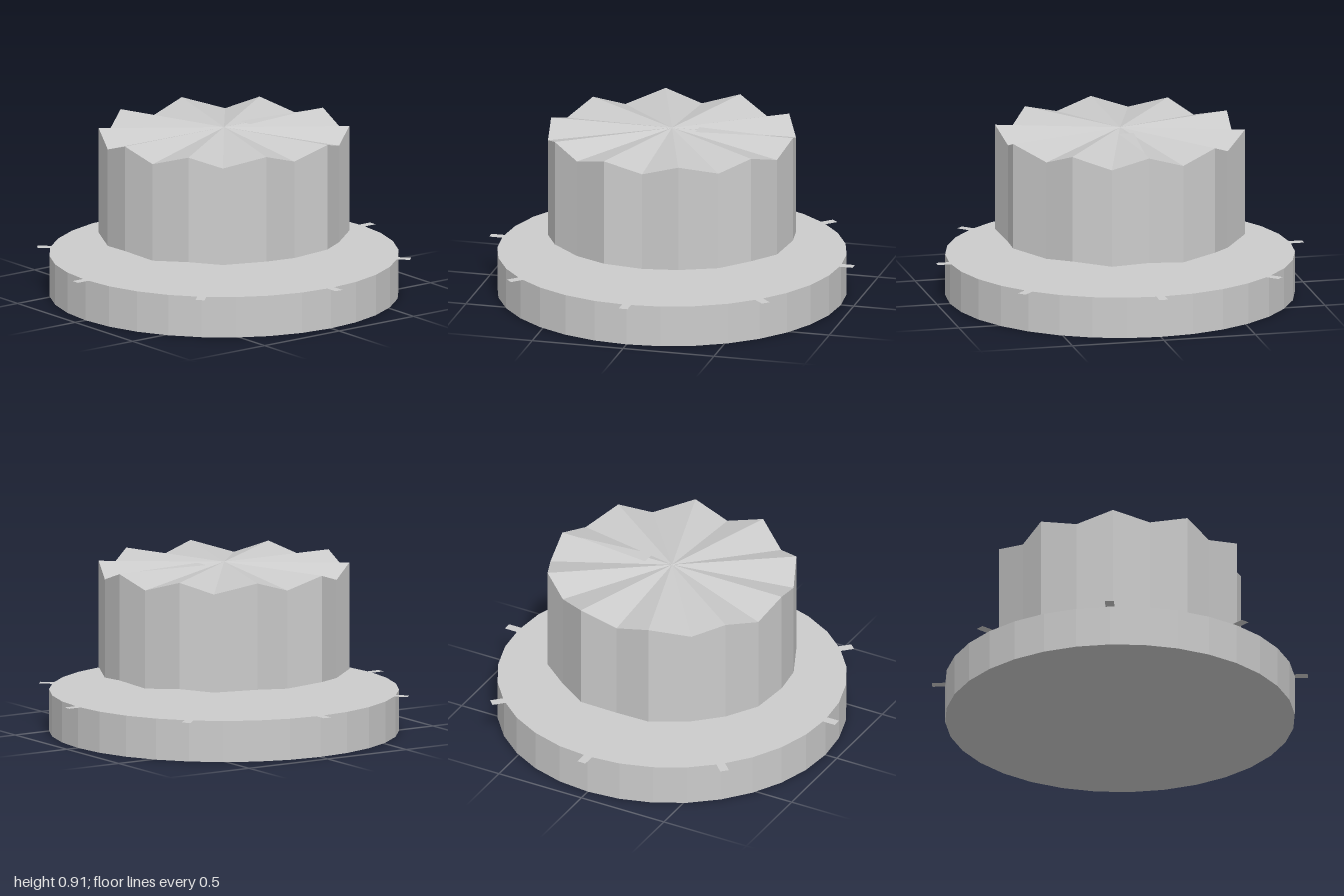
import * as THREE from 'three';

const material = new THREE.MeshStandardMaterial({ color: 0xcccccc, flatShading: true, side: THREE.DoubleSide });

function addMesh(parent, name, geometry) {
  const mesh = new THREE.Mesh(geometry, material);
  mesh.name = name;
  parent.add(mesh);
  return mesh;
}

// Closed outline of the knob: one quadrant, alternating ridge and valley, mirrored round
function knobOutline() {
  const quadrant = [[0, 0.665], [0.195, 0.63], [0.39, 0.54], [0.495, 0.39], [0.633, 0.205], [0.612, 0]];
  const back = quadrant.slice(0, -1).reverse().map(([x, z]) => [x, -z]);
  const half = [...quadrant, ...back];
  const left = half.slice(1, -1).reverse().map(([x, z]) => [-x, z]);
  return [...half, ...left];
}

// Fluted knob: pleated top fan plus straight side walls, open underneath
function knobGeometry() {
  const outline = knobOutline();
  const points = [];
  const top = (i) => [outline[i][0], i % 2 ? 0.85 : 0.912, outline[i][1]];
  const bottom = (i) => [outline[i][0], i % 2 ? 0.32 : 0.338, outline[i][1]];
  for (let i = 0; i < outline.length; i++) {
    const j = (i + 1) % outline.length;
    points.push(0, 0.912, 0, ...top(i), ...top(j));
    points.push(...bottom(i), ...bottom(j), ...top(j));
    points.push(...bottom(i), ...top(j), ...top(i));
  }
  const geometry = new THREE.BufferGeometry();
  geometry.setAttribute('position', new THREE.Float32BufferAttribute(points, 3));
  geometry.computeVertexNormals();
  return geometry;
}

export function createModel() {
  const model = new THREE.Group();
  model.name = 'rotaryKnob';

  // Base disc
  const base = addMesh(model, 'baseDisc', new THREE.CylinderGeometry(0.93, 0.93, 0.222, 32));
  base.position.y = 0.111;

  // Flat tick marks around the rim
  const ticks = new THREE.Group();
  ticks.name = 'tickMarks';
  model.add(ticks);
  for (let i = 0; i < 8; i++) {
    const geometry = new THREE.PlaneGeometry(0.048, 0.08).rotateX(-Math.PI / 2);
    geometry.translate(0, 0.222, 0.96).rotateY((i * Math.PI) / 4);
    addMesh(ticks, 'tickMark', geometry);
  }

  addMesh(model, 'knob', knobGeometry());

  // Pointer lying on the rear ridge
  const pointer = new THREE.Shape([
    new THREE.Vector2(-0.042, 0.14),
    new THREE.Vector2(0.042, 0.14),
    new THREE.Vector2(0, 0.56),
  ]);
  const pointerMesh = addMesh(model, 'pointer', new THREE.ShapeGeometry(pointer).rotateX(-Math.PI / 2));
  pointerMesh.position.y = 0.914;

  return model;
}
